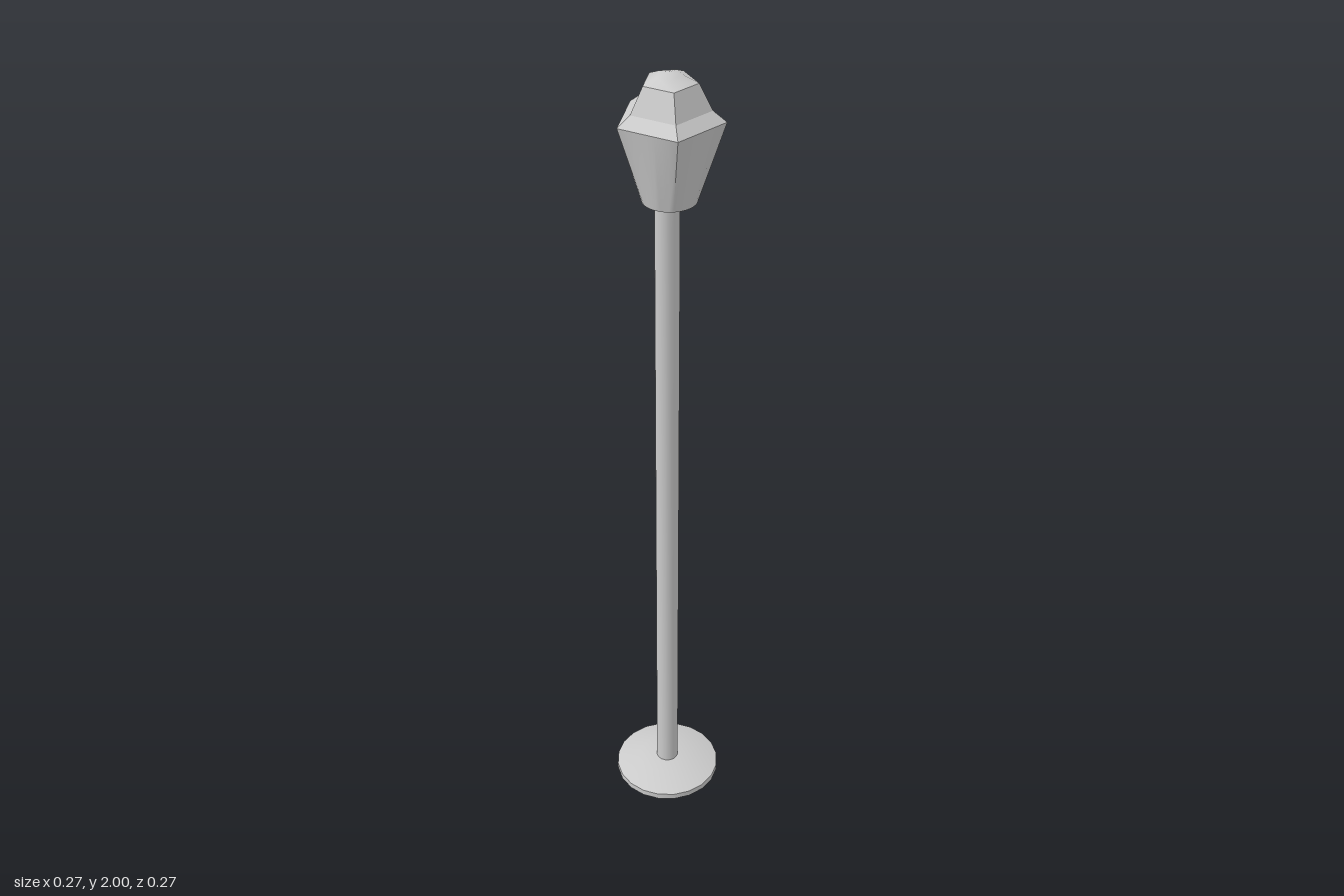
import * as THREE from 'three';
import { toCreasedNormals } from 'three/addons/utils/BufferGeometryUtils.js';

const HEAD_X = 0.005; // the lantern sits slightly off the pole axis

// Lathe from [radius, y] pairs, with a corner on +x
function turned(name, points, sides, crease) {
  const profile = points.map(([r, y]) => new THREE.Vector2(r, y));
  const geometry = new THREE.LatheGeometry(profile, sides).rotateY(Math.PI / 2);
  return part(name, toCreasedNormals(geometry, crease));
}

function part(name, geometry) {
  const mesh = new THREE.Mesh(geometry, new THREE.MeshStandardMaterial({ color: 0xcccccc }));
  mesh.name = name;
  return mesh;
}

// Lantern body: a round foot that blends into a pentagon at the rim
function lanternBody() {
  const bottom = 1.715, top = 1.9, sector = Math.PI * 2 / 5;
  const geometry = new THREE.CylinderGeometry(0.12, 0.061, top - bottom, 40, 1);
  geometry.translate(0, (top + bottom) / 2, 0);
  const p = geometry.attributes.position;
  for (let i = 0; i < p.count; i++) {
    if (p.getY(i) < top - 0.01) continue;
    const angle = Math.atan2(p.getZ(i), p.getX(i)) + Math.PI * 2;
    const k = Math.cos(sector / 2) / Math.cos((angle % sector) - sector / 2);
    p.setX(i, p.getX(i) * k);
    p.setZ(i, p.getZ(i) * k);
  }
  return part('lanternBody', toCreasedNormals(geometry, 0.6));
}

export function createModel() {
  const model = new THREE.Group();
  model.name = 'streetLamp';

  // Base plate with a sloped top
  model.add(turned('basePlate', [[0, 0.027], [0.134, 0.027], [0.134, 0.043], [0.07, 0.064], [0, 0.064]], 20, 0.6));

  // Pole, protruding below the plate
  model.add(turned('pole', [[0, 0], [0.028, 0], [0.028, 1.73], [0, 1.73]], 16, 0.6));

  // Lantern: tapered body, flared five-sided roof and shallow cap
  const lantern = new THREE.Group();
  lantern.name = 'lantern';
  lantern.position.x = HEAD_X;
  lantern.add(lanternBody());
  lantern.add(turned('lanternRoof', [[0.12, 1.9], [0.09, 1.923], [0.061, 1.98]], 5, 0.1));
  lantern.add(turned('lanternCap', [[0.061, 1.98], [0.03, 1.994], [0, 2]], 5, 1));
  model.add(lantern);

  return model;
}
